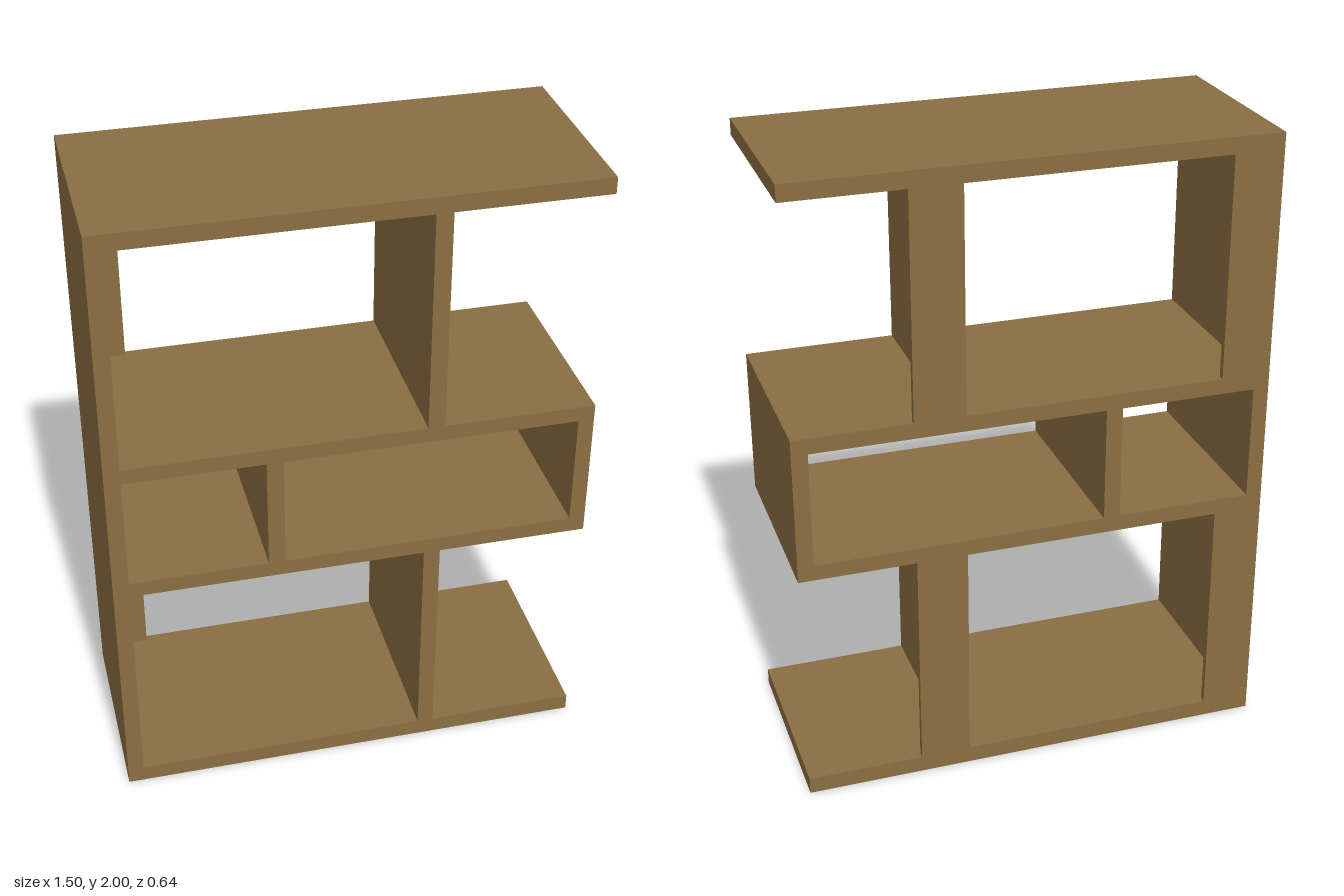
import * as THREE from 'three';

export function createModel() {
  const group = new THREE.Group();
  const wood = new THREE.MeshStandardMaterial({ color: 0x8a6e42 });
  wood.name = 'wood';

  const front = 0.322, back = -0.322;

  // Board given by its x, y and z limits
  function board(name, x0, x1, y0, y1, z0 = back, z1 = front) {
    const mesh = new THREE.Mesh(new THREE.BoxGeometry(x1 - x0, y1 - y0, z1 - z0), wood);
    mesh.position.set((x0 + x1) / 2, (y0 + y1) / 2, (z0 + z1) / 2);
    mesh.name = name;
    group.add(mesh);
  }

  const left = -0.75, right = 0.75, inner = -0.7;

  // Full-height side panel
  board('sidePanel', left, inner, 0, 2);

  // Horizontal boards
  board('bottomBoard', inner, right, 0, 0.053);
  board('lowerShelf', inner, right, 0.768, 0.818);
  board('upperShelf', inner, right, 1.187, 1.237);
  board('topBoard', inner, right, 1.948, 2);

  // Middle compartment: divider and closed end
  board('middleDivider', -0.269, -0.217, 0.818, 1.187);
  board('middleEnd', 0.7, right, 0.818, 1.187);

  // Tall compartments: upright divider and two narrow strips at the back
  for (const [label, y0, y1] of [['lower', 0.053, 0.768], ['upper', 1.237, 1.948]]) {
    board(label + 'Upright', 0.224, 0.276, y0, y1);
    board(label + 'SideBackStrip', inner, -0.593, y0, y1, back, -0.302);
    board(label + 'UprightBackStrip', 0.276, 0.384, y0, y1, back, -0.302);
  }

  return group;
}
